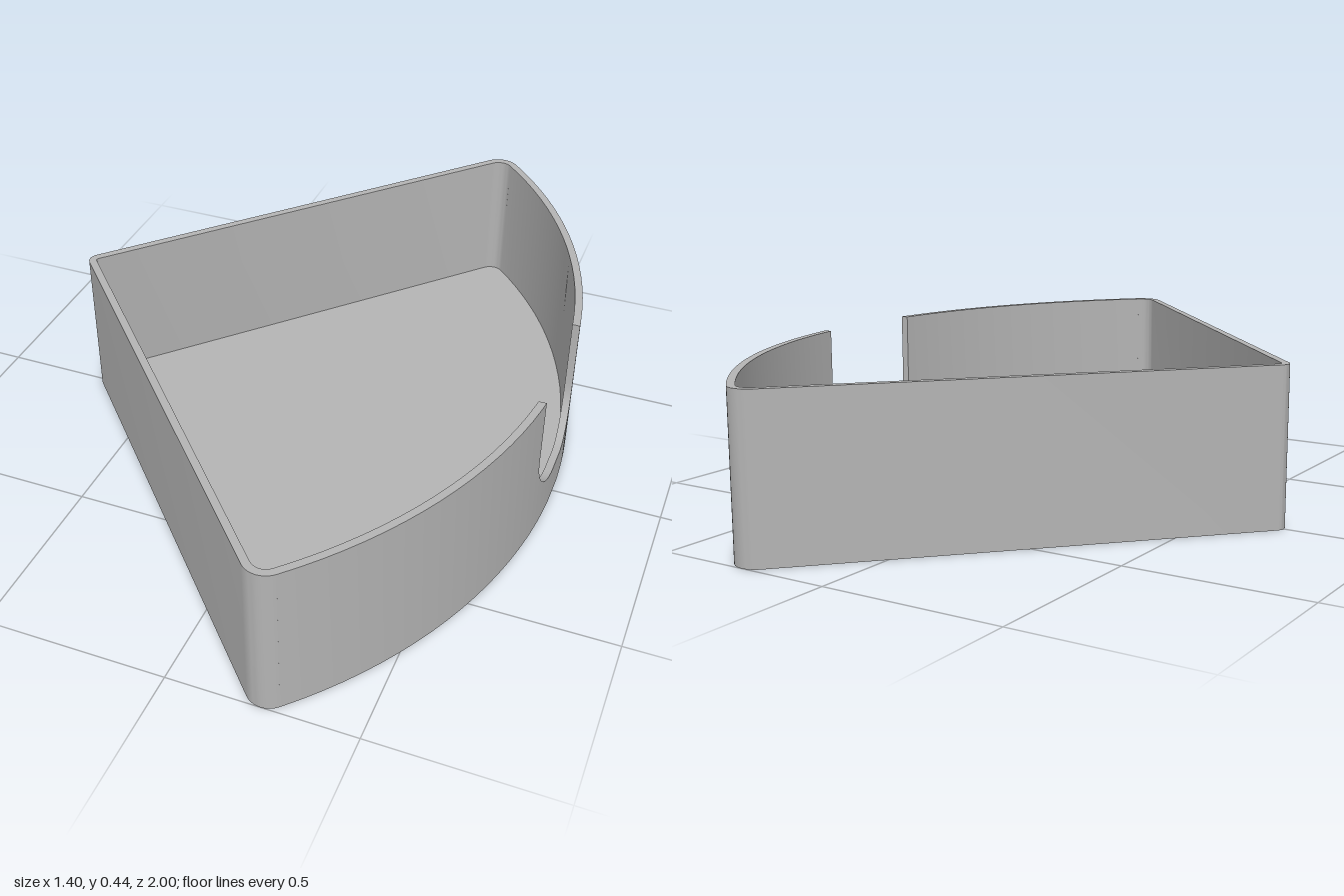
import * as THREE from 'three';
import { toCreasedNormals } from 'three/addons/utils/BufferGeometryUtils.js';

const HEIGHT = 0.435, WALL = 0.021, FLOOR = 0.042;
const ARC_X = -0.688, ARC_R = 1.388;                    // big curved side
const CORNER = { x: 0.25, z: 0.94, r: 0.06 };           // rounded outer corners
const TIP = { x: -0.67, z: 0, r: 0.03 };                // rounded point of the wedge
const NOTCH = { half: 0.18, bottom: 0.105, r: 0.135 };  // finger cut-out

// A station is one slice through the wall: outer and inner points plus its top height
function sweep(list, cx, cz, r, from, to, steps) {
  for (let i = 0; i <= steps; i++) {
    const a = from + (to - from) * i / steps, c = Math.cos(a), s = Math.sin(a);
    list.push({
      o: [cx + r * c, cz + r * s],
      n: [cx + (r - WALL) * c, cz + (r - WALL) * s],
      top: HEIGHT,
    });
  }
}

function notchStations(list) {
  const at = (z, top) => {
    const x = R => ARC_X + Math.sqrt(R * R - z * z);
    list.push({ o: [x(ARC_R), z], n: [x(ARC_R - WALL), z], top });
  };
  const { half, bottom, r } = NOTCH, side = [[half, HEIGHT]];
  for (let k = 0; k <= 10; k++) {
    const a = k / 10 * Math.PI / 2;
    side.push([half - r + r * Math.cos(a), bottom + r - r * Math.sin(a)]);
  }
  side.forEach(([z, y]) => at(-z, y));
  side.reverse().forEach(([z, y]) => at(z, y));
}

function buildStations() {
  const list = [];
  const phi = Math.atan2(CORNER.z, CORNER.x - ARC_X);
  const beta = Math.asin(NOTCH.half / ARC_R) + 0.02;
  const dx = CORNER.x - TIP.x;
  const side = Math.PI / 2 + Math.atan2(CORNER.z, dx)
    + Math.asin((CORNER.r - TIP.r) / Math.hypot(dx, CORNER.z));
  sweep(list, ARC_X, 0, ARC_R, -phi, -beta, 16);
  notchStations(list);
  sweep(list, ARC_X, 0, ARC_R, beta, phi, 16);
  sweep(list, CORNER.x, CORNER.z, CORNER.r, phi, side, 10);
  sweep(list, TIP.x, TIP.z, TIP.r, side, 2 * Math.PI - side, 10);
  sweep(list, CORNER.x, -CORNER.z, CORNER.r, 2 * Math.PI - side, 2 * Math.PI - phi, 10);
  return list;
}

// Wall: outer, inner, rim and underside strips between neighbouring stations
function wallGeometry(stations) {
  const pos = [];
  const v = (p, y) => new THREE.Vector3(p[0], y, p[1]);
  const tri = (a, b, c) => {
    const area = b.clone().sub(a).cross(c.clone().sub(a)).length();
    if (area > 1e-8) [a, b, c].forEach(p => pos.push(p.x, p.y, p.z));
  };
  const quad = (a, b, c, d) => { tri(a, b, c); tri(a, c, d); };
  stations.forEach((s, i) => {
    const t = stations[(i + 1) % stations.length];
    quad(v(s.o, 0), v(s.o, s.top), v(t.o, t.top), v(t.o, 0));
    quad(v(t.n, FLOOR), v(t.n, t.top), v(s.n, s.top), v(s.n, FLOOR));
    quad(v(s.o, s.top), v(s.n, s.top), v(t.n, t.top), v(t.o, t.top));
    quad(v(t.o, 0), v(t.n, 0), v(s.n, 0), v(s.o, 0));
  });
  const geo = new THREE.BufferGeometry();
  geo.setAttribute('position', new THREE.Float32BufferAttribute(pos, 3));
  return toCreasedNormals(geo, 0.5);
}

// Floor: slab filling the inside of the wall
function floorGeometry(stations) {
  const pts = stations.map(s => new THREE.Vector2(...s.n))
    .filter((p, i, all) => i === 0 || p.distanceTo(all[i - 1]) > 1e-5);
  if (pts[0].distanceTo(pts[pts.length - 1]) < 1e-5) pts.pop();
  const geo = new THREE.ExtrudeGeometry(new THREE.Shape(pts), { depth: FLOOR, bevelEnabled: false });
  return geo.rotateX(Math.PI / 2).translate(0, FLOOR, 0);
}

export function createModel() {
  const group = new THREE.Group();
  group.name = 'wedgeTray';
  const grey = new THREE.MeshStandardMaterial({ color: 0xb4b4b4 });
  grey.name = 'grey';
  const stations = buildStations();
  const add = (name, geo) => {
    const mesh = new THREE.Mesh(geo, grey);
    mesh.name = name;
    group.add(mesh);
  };
  add('wall', wallGeometry(stations));
  add('floor', floorGeometry(stations));
  return group;
}
